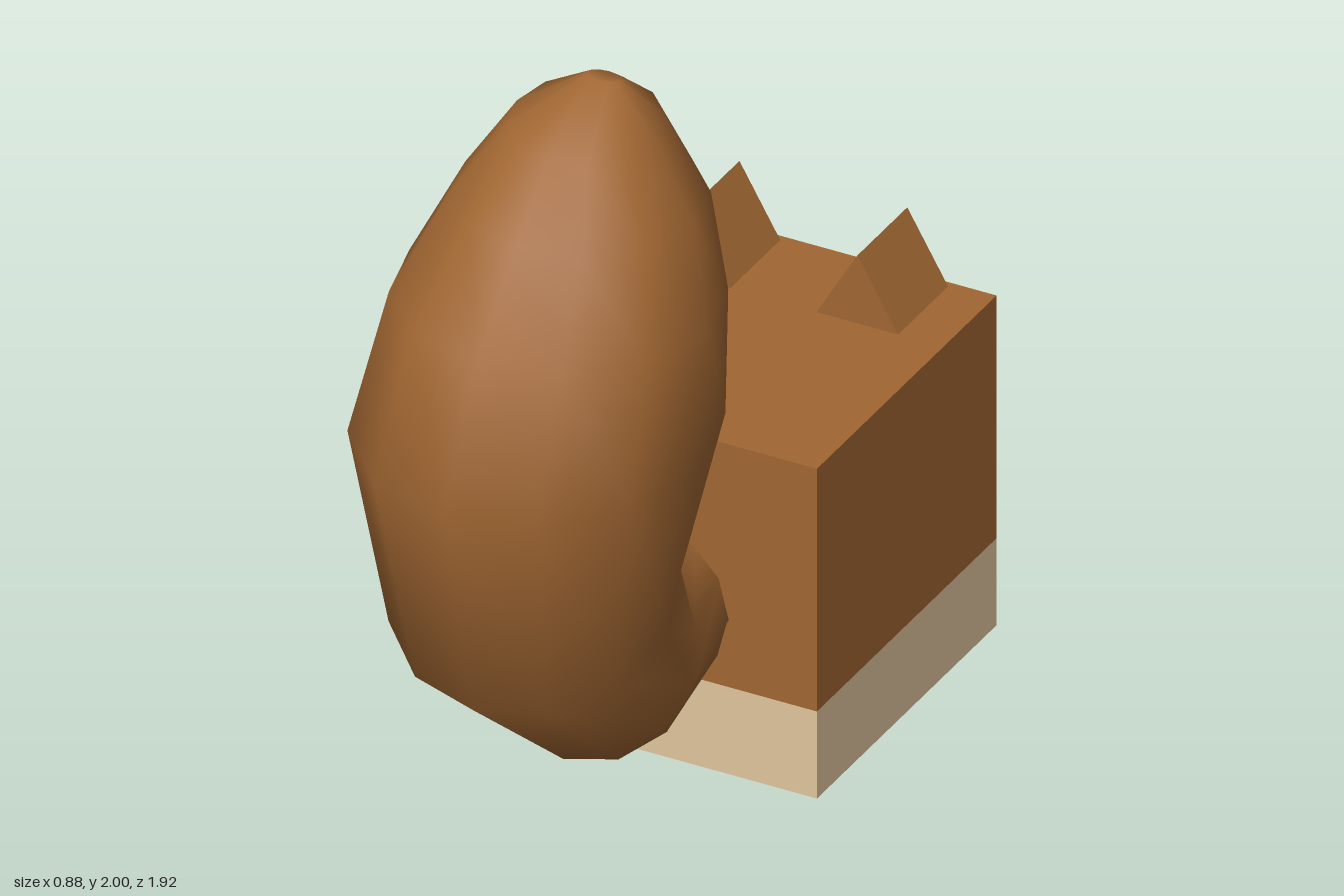
import * as THREE from 'three';

const material = (name, color) => {
  const m = new THREE.MeshStandardMaterial({ color });
  m.name = name;
  return m;
};

export function createModel() {
  const model = new THREE.Group();
  model.name = 'squirrel';
  const brown = material('brown fur', 0xa06632);
  const cream = material('cream fur', 0xdfc59d);
  const black = material('black', 0x080808);
  const pink = material('pink blush', 0xe890ee);

  const add = (name, geometry, mat, x = 0, y = 0, z = 0) => {
    const mesh = new THREE.Mesh(geometry, mat);
    mesh.name = name;
    mesh.position.set(x, y, z);
    model.add(mesh);
    return mesh;
  };

  // Cube body: brown above, cream band below with a brown underside
  const size = 0.88, bandTop = 0.235, bodyTop = 0.89, bodyZ = -0.52;
  add('body', new THREE.BoxGeometry(size, bodyTop - bandTop, size), brown, 0, (bodyTop + bandTop) / 2, bodyZ);
  add('bellyBand', new THREE.BoxGeometry(size, bandTop, size),
    [cream, cream, cream, brown, cream, cream], 0, bandTop / 2, bodyZ);

  // Ears: triangular prisms with cream inner triangles
  const triangle = (halfWidth, height) => new THREE.Shape([
    new THREE.Vector2(-halfWidth, 0), new THREE.Vector2(halfWidth, 0), new THREE.Vector2(0, height),
  ]);
  const earShape = triangle(0.107, 0.183);
  const innerShape = triangle(0.06, 0.115);
  for (const [side, x] of [['left', 0.215], ['right', -0.225]]) {
    add(side + 'Ear', new THREE.ExtrudeGeometry(earShape, { depth: 0.245, bevelEnabled: false }),
      brown, x, bodyTop, -0.943);
    add(side + 'InnerEar', new THREE.ShapeGeometry(innerShape).rotateY(Math.PI), cream, x, bodyTop + 0.008, -0.946);
  }

  // Face: thin discs on the -z side of the cube
  const disc = (name, mat, x, y, rx, ry, lift) =>
    add(name, new THREE.CircleGeometry(1, 28).scale(rx, ry, 1).rotateY(Math.PI), mat, x, y, -0.96 - lift);
  for (const [side, eyeX, cheekX] of [['left', 0.18, 0.257], ['right', -0.21, -0.265]]) {
    disc(side + 'Eye', cream, eyeX, 0.648, 0.083, 0.083, 0.002);
    disc(side + 'Pupil', black, eyeX, 0.648, 0.052, 0.052, 0.004);
    disc(side + 'Cheek', pink, cheekX, 0.466, 0.088, 0.047, 0.002);
  }
  disc('nose', black, -0.017, 0.545, 0.024, 0.021, 0.002);
  disc('leftMouthDot', black, -0.005, 0.43, 0.018, 0.018, 0.002);
  disc('rightMouthDot', black, -0.113, 0.425, 0.018, 0.018, 0.002);

  add('tail', tailGeometry(), brown);
  return model;
}

// Bushy tail lofted through elliptical rings
function tailGeometry() {
  // Each ring: outer z, outer y, inner z, inner y, half width, x offset
  const rings = [
    [-0.12, 0.21, -0.12, 0.625, 0.20, 0],
    [0.34, 0.205, 0.06, 0.615, 0.27, 0],
    [0.78, 0.57, 0.18, 0.87, 0.35, 0],
    [0.96, 1.19, 0.04, 1.22, 0.43, 0.015],
    [0.81, 1.53, 0.01, 1.50, 0.39, 0.025],
    [0.64, 1.75, 0.01, 1.72, 0.30, 0.035],
    [0.49, 1.91, 0.12, 1.94, 0.18, 0.04],
    [0.25, 2.0, 0.20, 2.0, 0.045, 0.045],
  ];
  const sides = 12;
  const positions = [];
  const index = [];
  rings.forEach(([oz, oy, iz, iy, w, x]) => {
    for (let j = 0; j < sides; j++) {
      const a = (j / sides) * Math.PI * 2;
      const t = (1 + Math.cos(a)) / 2;
      positions.push(x + w * Math.sin(a), iy + (oy - iy) * t, iz + (oz - iz) * t);
    }
  });
  for (let i = 0; i < rings.length - 1; i++) {
    for (let j = 0; j < sides; j++) {
      const a = i * sides + j, b = i * sides + ((j + 1) % sides);
      index.push(a, b, a + sides, b, b + sides, a + sides);
    }
  }
  // Close the tip
  const last = (rings.length - 1) * sides;
  for (let j = 1; j < sides - 1; j++) index.push(last, last + j, last + j + 1);

  const geometry = new THREE.BufferGeometry();
  geometry.setAttribute('position', new THREE.Float32BufferAttribute(positions, 3));
  geometry.setIndex(index);
  geometry.computeVertexNormals();
  return geometry;
}
